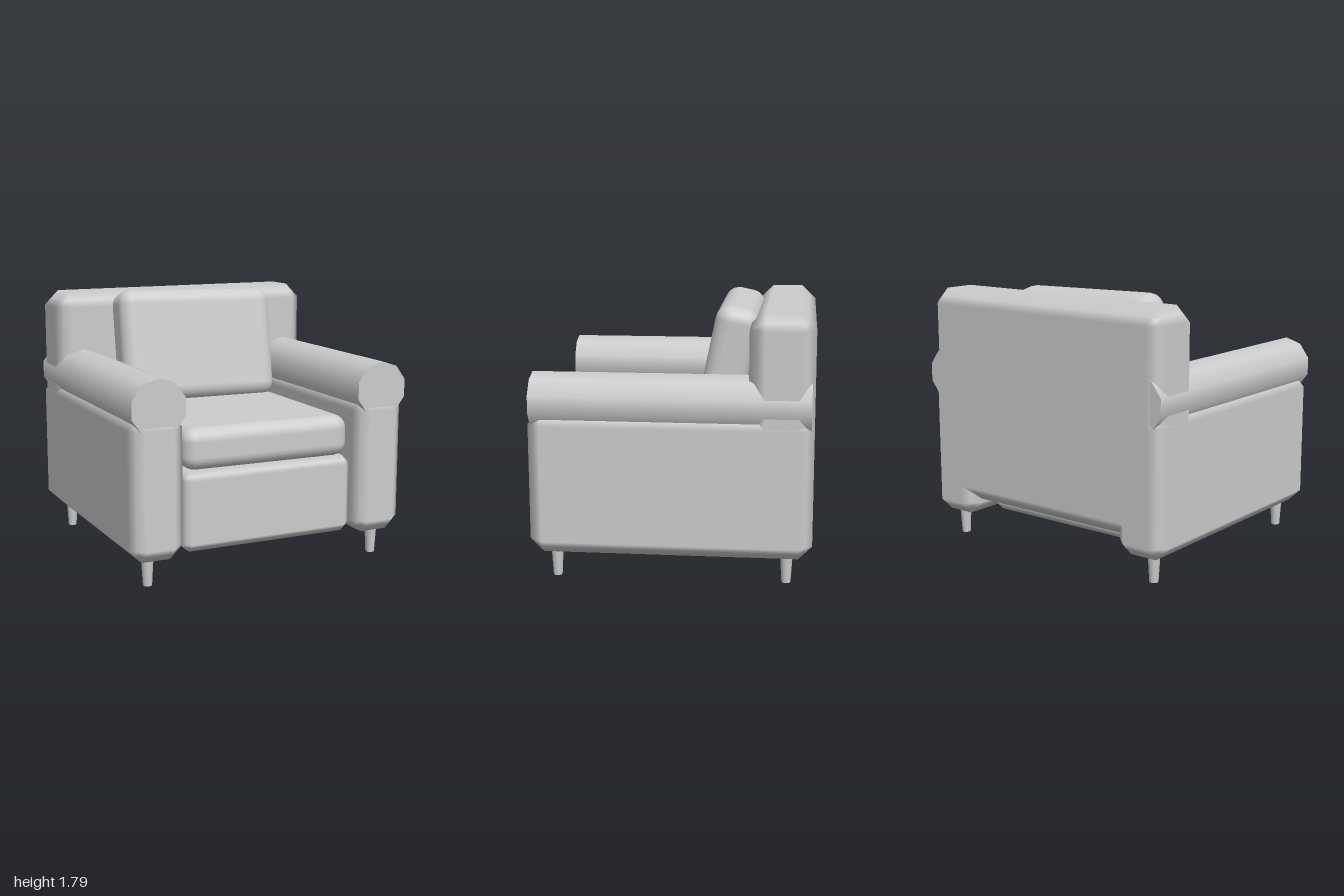
import * as THREE from 'three';
import { RoundedBoxGeometry } from 'three/addons/geometries/RoundedBoxGeometry.js';

// Box with a single flat chamfer of width b and softly blended normals
function chamferBox(w, h, d, b) {
  const geo = new THREE.BoxGeometry(1, 1, 1, 3, 3, 3);
  const pos = geo.attributes.position, nor = geo.attributes.normal;
  const half = [w / 2, h / 2, d / 2];
  for (let i = 0; i < pos.count; i++) {
    const p = [pos.getX(i), pos.getY(i), pos.getZ(i)];
    const outer = p.map((v) => Math.abs(v) > 0.4);
    const inset = [0, 0, b / 2, (2 * b) / 3][outer.filter(Boolean).length];
    const q = p.map((v, k) => Math.sign(v) * (half[k] - (outer[k] ? inset : b)));
    const n = new THREE.Vector3(...p.map((v, k) => (outer[k] ? Math.sign(v) : 0))).normalize();
    pos.setXYZ(i, ...q);
    nor.setXYZ(i, n.x, n.y, n.z);
  }
  return geo;
}

export function createModel() {
  const group = new THREE.Group();
  const fabric = new THREE.MeshStandardMaterial({ color: 0xcccccc });
  fabric.name = 'light grey';

  const add = (name, geo, x, y, z) => {
    const mesh = new THREE.Mesh(geo, fabric);
    mesh.name = name;
    mesh.position.set(x, y, z);
    group.add(mesh);
    return mesh;
  };

  // Frame: seat base and backrest
  add('seatBase', chamferBox(1.25, 0.53, 1.58, 0.055), 0, 0.465, 0.07);
  add('backrest', chamferBox(1.98, 1.47, 0.42, 0.1), 0, 1.035, -0.715);

  // Arms with rolled tops, and tapered legs
  const armGeo = chamferBox(0.375, 0.95, 1.85, 0.09);
  const rollGeo = new THREE.CylinderGeometry(0.19, 0.19, 1.81, 10).rotateX(-Math.PI / 2);
  const legGeo = new THREE.CylinderGeometry(0.042, 0.03, 0.2, 12);
  for (const [side, s] of [['left', 1], ['right', -1]]) {
    add(side + 'Arm', armGeo, s * 0.8125, 0.655, 0);
    add(side + 'ArmRoll', rollGeo, s * 0.81, 1.18, 0);
    add(side + 'FrontLeg', legGeo, s * 0.842, 0.1, 0.76);
    add(side + 'BackLeg', legGeo, s * 0.842, 0.1, -0.76);
  }

  // Loose cushions, slightly askew
  const seat = add('seatCushion', new RoundedBoxGeometry(1.205, 0.28, 1.38, 3, 0.09), -0.003, 0.872, 0.165);
  seat.rotation.z = -0.004;
  const back = add('backCushion', new RoundedBoxGeometry(1.18, 0.8, 0.29, 3, 0.1), -0.012, 1.38, -0.345);
  back.rotation.set(-0.2, 0, -0.02);

  return group;
}
